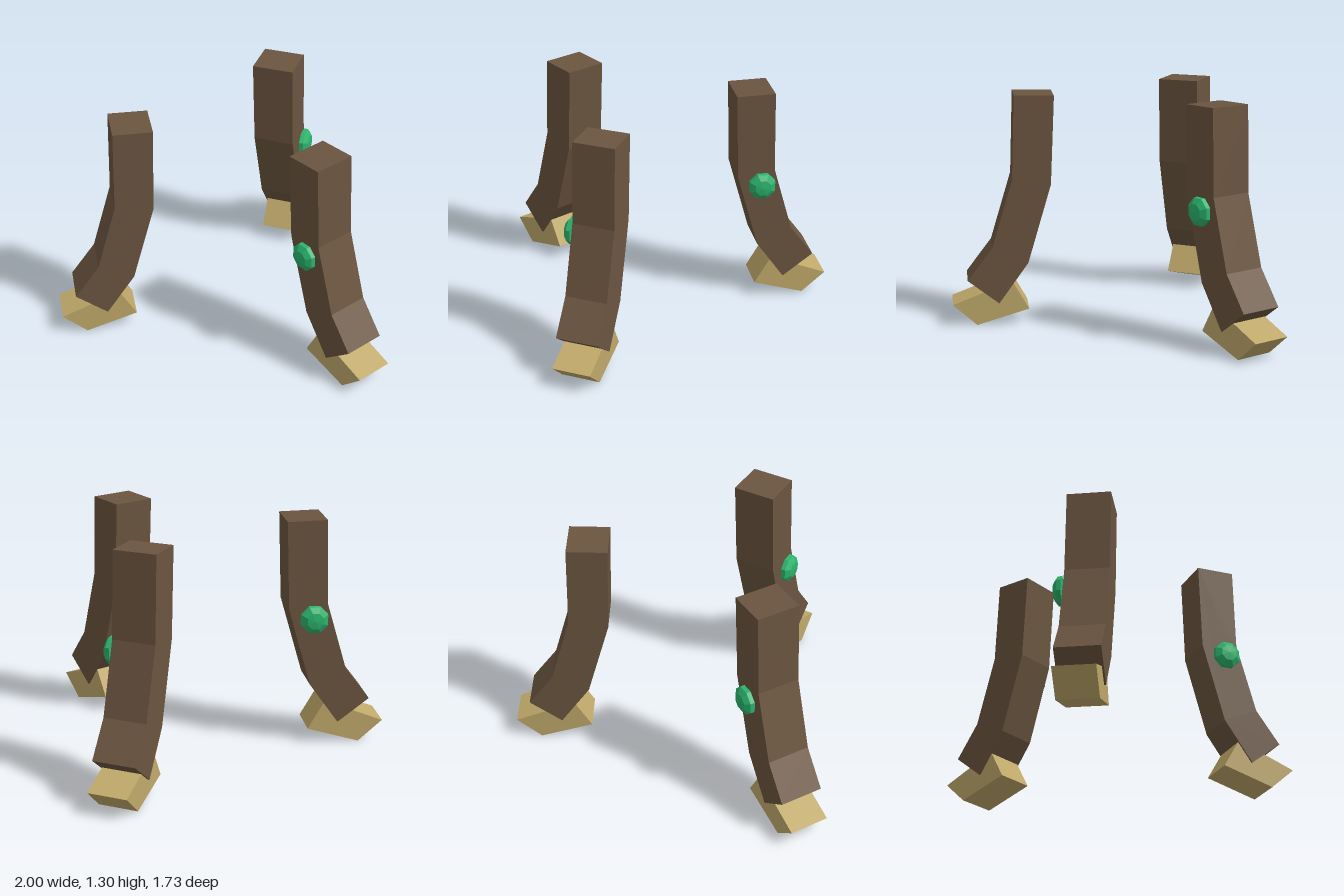
import * as THREE from 'three';

const wood = new THREE.MeshStandardMaterial({ color: 0x6b5540, flatShading: true });
const horn = new THREE.MeshStandardMaterial({ color: 0xc0a96a, flatShading: true });
const jewel = new THREE.MeshStandardMaterial({ color: 0x2ab56e, flatShading: true });

const LEGS = 3;
const CENTER_Z = -0.225; // the axis the legs are arranged around

// Side outlines as [z, y] pairs
const legOutline = [
  [0.29, 1.295], [0.31, 0.8], [0.44, 0.355], [0.605, 0.125],
  [0.78, 0.26], [0.64, 0.445], [0.525, 0.83], [0.51, 1.3],
];
const footOutline = [[0.437, 0.087], [0.73, 0], [0.865, 0.12], [0.53, 0.25]];

// Extrudes a side outline across x, centred on x = 0
function slab(outline, width) {
  const shape = new THREE.Shape(outline.map(([z, y]) => new THREE.Vector2(z - CENTER_Z, y)));
  const geometry = new THREE.ExtrudeGeometry(shape, { depth: width, bevelEnabled: false });
  return geometry.translate(0, 0, -width / 2).rotateY(-Math.PI / 2);
}

// Eight-sided cut gem with a flat back, pointing to -x
function gemGeometry() {
  const profile = [[0, 0], [0.081, 0], [0.079, 0.024], [0.048, 0.046], [0, 0.052]];
  const geometry = new THREE.LatheGeometry(profile.map(([r, h]) => new THREE.Vector2(r, h)), 8);
  return geometry.rotateY(Math.PI / 8).rotateZ(Math.PI / 2);
}

function addPart(parent, name, geometry, material) {
  const mesh = new THREE.Mesh(geometry, material);
  mesh.name = name;
  parent.add(mesh);
  return mesh;
}

export function createModel() {
  const model = new THREE.Group();
  model.name = 'tripodLegs';
  const legGeometry = slab(legOutline, 0.24);
  const footGeometry = slab(footOutline, 0.22);
  const gem = gemGeometry();

  for (let i = 0; i < LEGS; i++) {
    const leg = new THREE.Group();
    leg.name = ['frontLeg', 'backLeftLeg', 'backRightLeg'][i];
    leg.position.z = CENTER_Z;
    leg.rotation.y = (i * 2 * Math.PI) / LEGS;
    addPart(leg, 'bentLeg', legGeometry, wood);
    addPart(leg, 'foot', footGeometry, horn);
    addPart(leg, 'gem', gem, jewel).position.set(-0.139, 0.747, 0.447 - CENTER_Z);
    model.add(leg);
  }
  return model;
}
